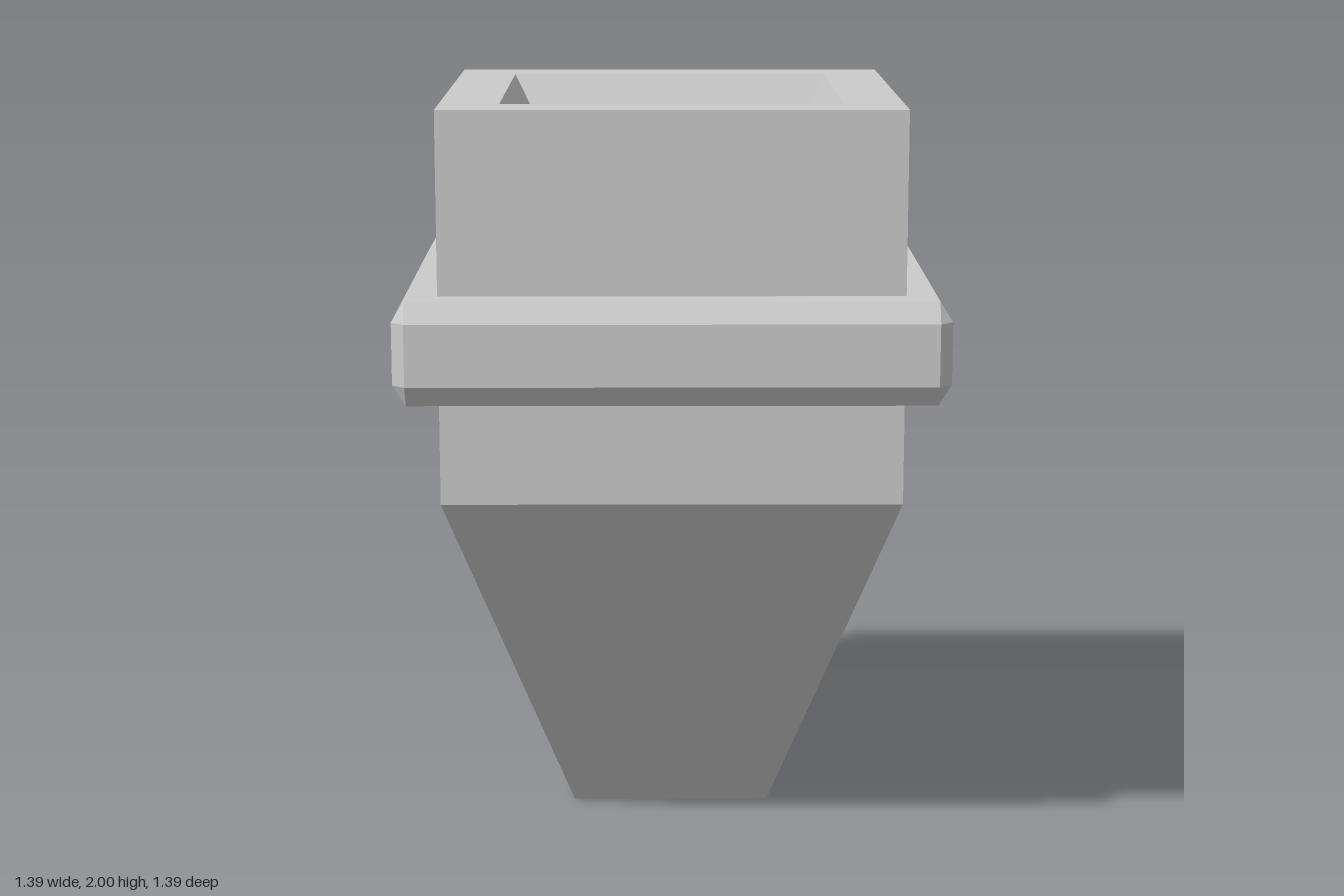
import * as THREE from 'three';
import { ConvexGeometry } from 'three/addons/geometries/ConvexGeometry.js';

// Skin a stack of square sections [halfSize, y, zOffset], capped at both ends
function squareLoft(sections) {
  const rings = sections.map(([h, y, z = 0]) => [
    [h, y, z + h], [h, y, z - h], [-h, y, z - h], [-h, y, z + h],
  ]);
  const pos = [];
  const quad = (a, b, c, d) => pos.push(...a, ...b, ...c, ...a, ...c, ...d);
  for (let r = 0; r < rings.length - 1; r++) {
    const lo = rings[r], hi = rings[r + 1];
    for (let i = 0; i < 4; i++) {
      const j = (i + 1) % 4;
      quad(lo[i], lo[j], hi[j], hi[i]);
    }
  }
  quad(...[...rings[0]].reverse());
  quad(...rings[rings.length - 1]);
  const geo = new THREE.BufferGeometry();
  geo.setAttribute('position', new THREE.Float32BufferAttribute(pos, 3));
  geo.computeVertexNormals();
  return geo;
}

// Box of half sizes w, h, with every edge chamfered
function chamferedBox(w, h, cutSide, cutTop) {
  const points = [];
  const s = w - cutSide;
  for (const sx of [-1, 1]) for (const sy of [-1, 1]) for (const sz of [-1, 1]) {
    points.push(
      new THREE.Vector3(sx * s, sy * h, sz * s),
      new THREE.Vector3(sx * w, sy * (h - cutTop), sz * s),
      new THREE.Vector3(sx * s, sy * (h - cutTop), sz * w),
    );
  }
  return new ConvexGeometry(points);
}

export function createModel() {
  const group = new THREE.Group();
  group.name = 'squareCorbel';
  const material = new THREE.MeshStandardMaterial({ color: 0xcccccc, flatShading: true });

  // Column block: tapered foot pulled to the back, straight shaft, sunken top
  const column = new THREE.Mesh(squareLoft([
    [0.27, 0, -0.3],
    [0.587, 1],
    [0.587, 2],
    [0.434, 2],
    [0.318, 1.78],
  ]), material);
  column.name = 'column';

  // Chamfered band around the shaft
  const band = new THREE.Mesh(chamferedBox(0.697, 0.132, 0.033, 0.053), material);
  band.name = 'band';
  band.position.y = 1.403;

  group.add(column, band);
  return group;
}
